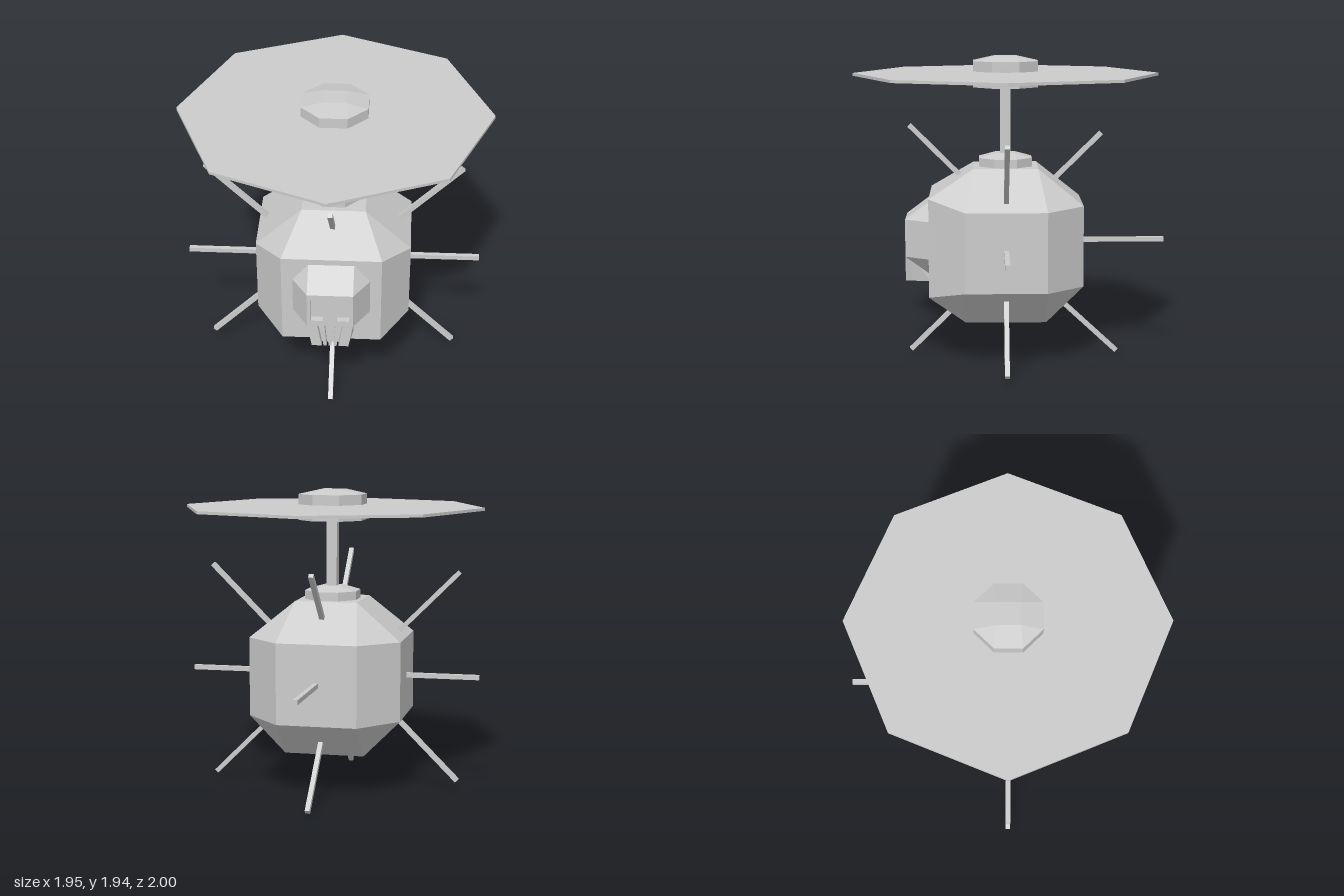
import * as THREE from 'three';
import { ConvexGeometry } from 'three/addons/geometries/ConvexGeometry.js';

const grey = new THREE.MeshStandardMaterial({ color: 0xcccccc, flatShading: true });
const CZ = 0.025; // depth of the central axis

const V = (x, y, z) => new THREE.Vector3(x, y, z);

function add(parent, name, geometry) {
  const mesh = new THREE.Mesh(geometry, grey);
  mesh.name = name;
  parent.add(mesh);
  return mesh;
}

// both mirrored copies of [x, y, z] points
const mirrored = (pts) => pts.flatMap(([x, y, z]) => [V(x, y, z), V(-x, y, z)]);

// convex solid; faces lying on the plane z = openZ are left out, inward turns it inside out
function hull(points, openZ = null, inward = false) {
  const pos = new ConvexGeometry(points).getAttribute('position');
  const out = [];
  for (let i = 0; i < pos.count; i += 3) {
    const t = [0, 1, 2].map((k) => V().fromBufferAttribute(pos, i + k));
    if (openZ !== null && t.every((p) => Math.abs(p.z - openZ) < 1e-4)) continue;
    if (inward) t.reverse();
    t.forEach((p) => out.push(p.x, p.y, p.z));
  }
  const g = new THREE.BufferGeometry();
  g.setAttribute('position', new THREE.Float32BufferAttribute(out, 3));
  g.computeVertexNormals();
  return g;
}

// eight-sided disc with flats on the axes, optionally with a bevelled cap up to a square
function octagon(half, y0, y1, capY = null, capHalf = 0) {
  const pts = [];
  const r = half / Math.cos(Math.PI / 8);
  for (let i = 0; i < 8; i++) {
    const a = Math.PI / 8 + (i * Math.PI) / 4;
    for (const y of [y0, y1]) pts.push(V(r * Math.cos(a), y, CZ + r * Math.sin(a)));
  }
  if (capY !== null) {
    for (const sx of [-1, 1]) for (const sz of [-1, 1]) pts.push(V(sx * capHalf, capY, CZ + sz * capHalf));
  }
  return hull(pts);
}

// square rod between two points
function rod(parent, name, a, b, w = 0.03) {
  const dir = b.clone().sub(a);
  const mesh = add(parent, name, new THREE.BoxGeometry(w, dir.length(), w));
  mesh.position.copy(a).add(b).multiplyScalar(0.5);
  mesh.quaternion.setFromUnitVectors(V(0, 1, 0), dir.normalize());
}

function addFace(parent) {
  const face = new THREE.Group();
  face.name = 'face';
  parent.add(face);
  const F = 0.665, B = 0.505;

  // chamfered mask without its front
  add(face, 'mask', hull(mirrored([
    [0.142, 0.915, F], [0.142, 0.675, F],
    [0.245, 0.915, B], [0.245, 0.675, B],
    [0.142, 1.035, B], [0.142, 0.56, B],
  ]), F));

  // front plate with eye openings, and the sunken sockets behind them
  const plate = new THREE.Shape([[-0.142, 0.675], [0.142, 0.675], [0.142, 0.915], [-0.142, 0.915]]
    .map(([x, y]) => new THREE.Vector2(x, y)));
  for (const s of [-1, 1]) {
    const eye = [[0.043, 0.715], [0.119, 0.715], [0.119, 0.877], [0.043, 0.877]];
    plate.holes.push(new THREE.Path(eye.map(([x, y]) => new THREE.Vector2(s * x, y))));
    add(face, 'eyeSocket', hull(eye.flatMap(([x, y]) => [V(s * x, y, F), V(s * x, y, F - 0.04)]), F, true));
  }
  add(face, 'facePlate', new THREE.ShapeGeometry(plate).translate(0, 0, F));

  // jaw block with five tapering teeth in front
  const M = 0.625;
  add(face, 'jaw', hull(mirrored([
    [0.142, 0.675, M], [0.12, 0.515, M], [0.142, 0.675, B], [0.142, 0.515, B],
  ])));
  const top = [-0.142, -0.073, -0.028, 0.028, 0.073, 0.142];
  const low = [-0.115, -0.046, -0.015, 0.015, 0.046, 0.115];
  const gap = 0.006;
  for (let i = 0; i < 5; i++) {
    const l = i === 0 ? 0 : gap, r = i === 4 ? 0 : gap;
    const pts = [];
    for (const z of [M, F]) {
      pts.push(V(top[i] + l, 0.675, z), V(top[i + 1] - r, 0.675, z));
      pts.push(V(low[i] + l, 0.515, z), V(low[i + 1] - r, 0.515, z));
    }
    add(face, 'tooth', hull(pts));
  }
}

export function createModel() {
  const model = new THREE.Group();
  model.name = 'flyingMine';

  // faceted body
  add(model, 'body', hull(mirrored([
    [0.2, 1.245, 0.23], [0.2, 1.245, -0.18],
    [0.255, 0.27, 0.28], [0.255, 0.27, -0.23],
    [0.488, 1.01, 0.28], [0.488, 1.01, -0.23], [0.488, 0.505, 0.28], [0.488, 0.505, -0.23],
    [0.312, 1.07, 0.51], [0.312, 0.445, 0.51],
    [0.255, 1.015, -0.465], [0.255, 0.5, -0.465],
  ])));

  addFace(model);

  // collar, mast and rotor
  add(model, 'collar', octagon(0.168, 1.24, 1.3, 1.33, 0.058));
  add(model, 'mast', new THREE.BoxGeometry(0.068, 0.58, 0.068)).position.set(0, 1.58, CZ);
  add(model, 'lowerHub', octagon(0.205, 1.75, 1.81));
  add(model, 'rotorDisc', new THREE.CylinderGeometry(0.973, 0.973, 0.018, 8)).position.set(0, 1.828, CZ - 0.003);
  add(model, 'upperHub', octagon(0.205, 1.85, 1.915, 1.945, 0.072));

  // spikes: level ones on the sides and back, slanted ones above and below
  const spikes = [
    [V(0.45, 0.76, CZ), V(0.935, 0.76, CZ)],
    [V(-0.45, 0.76, CZ), V(-0.955, 0.76, CZ)],
    [V(0, 0.76, -0.42), V(0, 0.76, -1.0)],
    [V(0.36, 1.01, CZ), V(0.8, 1.45, CZ)],
    [V(-0.36, 0.97, CZ), V(-0.82, 1.43, CZ)],
    [V(0.36, 0.49, CZ), V(0.79, 0.06, CZ)],
    [V(-0.36, 0.54, CZ), V(-0.82, 0.08, CZ)],
    [V(0, 1.13, 0.265), V(0, 1.505, 0.64)],
    [V(0, 1.11, -0.24), V(0, 1.455, -0.59)],
    [V(0, 0.38, 0.29), V(0, 0.035, 0.64)],
    [V(0, 0.38, -0.31), V(0, 0.02, -0.7)],
  ];
  for (const [a, b] of spikes) rod(model, 'spike', a, b);

  return model;
}
